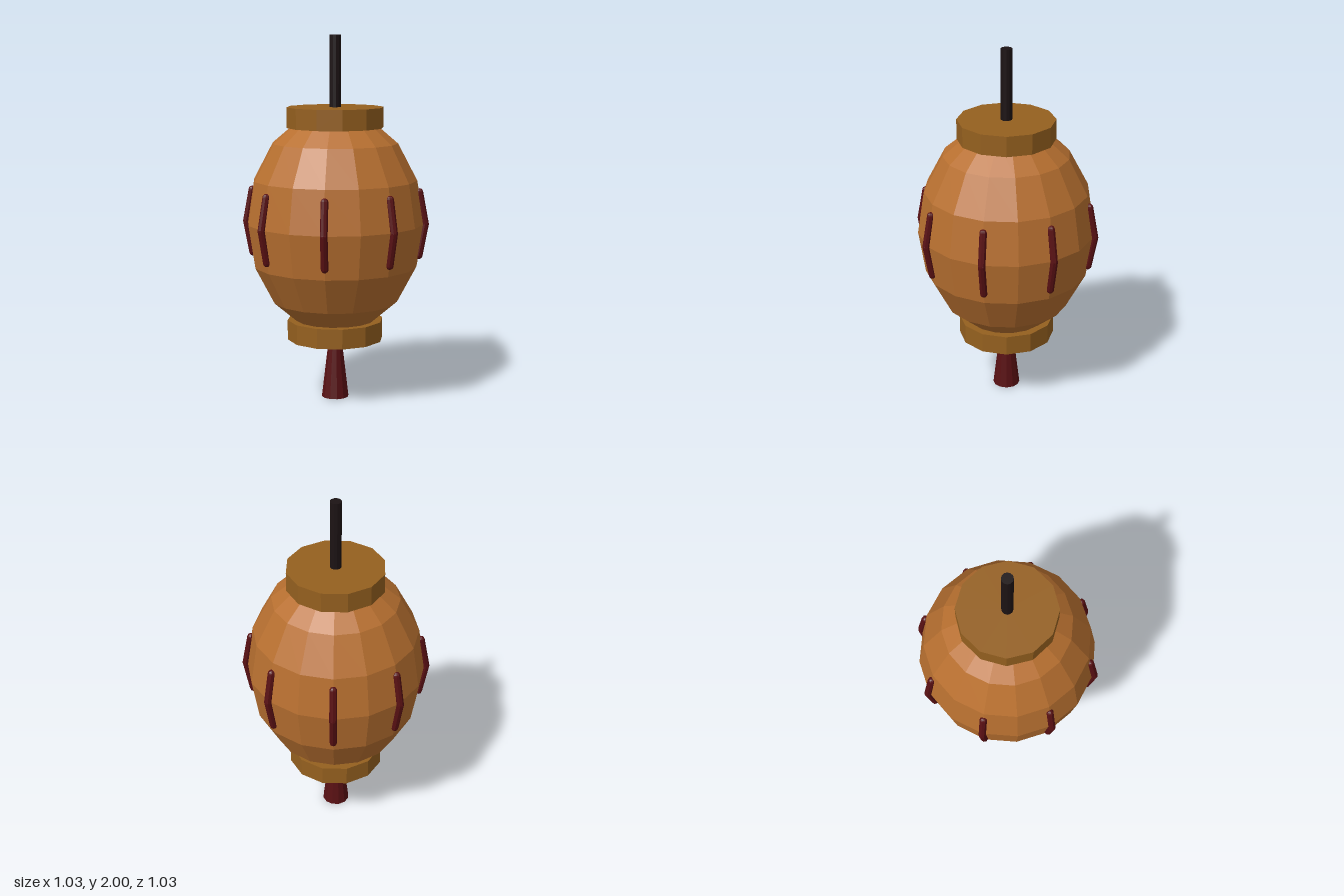
import * as THREE from 'three';

const material = (color) => new THREE.MeshStandardMaterial({ color, flatShading: true });

export function createModel() {
  const model = new THREE.Group();
  model.name = 'hangingLantern';

  const copper = material(0xb87030);
  const wood = material(0x95601f);
  const red = material(0x581013);
  const black = material(0x1c1314);

  const add = (name, geometry, mat, y, parent = model) => {
    const mesh = new THREE.Mesh(geometry, mat);
    mesh.name = name;
    mesh.position.y = y;
    parent.add(mesh);
    return mesh;
  };
  // Upright cylinder given by its bottom and top heights
  const post = (name, rTop, rBottom, y0, y1, sides, mat) =>
    add(name, new THREE.CylinderGeometry(rTop, rBottom, y1 - y0, sides), mat, (y0 + y1) / 2);

  // Faceted body, stretched upwards
  const midY = 0.983;
  add('body', new THREE.SphereGeometry(0.485, 16, 8).scale(1, 1.272, 1), copper, midY);

  // End caps, hanging rod and tassel
  post('topCap', 0.265, 0.265, 1.503, 1.614, 12, wood);
  post('bottomCap', 0.265, 0.265, 0.333, 0.442, 12, wood);
  post('hangingRod', 0.031, 0.031, 1.6, 2, 12, black);
  post('tassel', 0.034, 0.075, 0, 0.345, 12, red);

  // Eight ribs, each of two capsules meeting in a slight bend at the middle
  const ribRadius = 0.02, dr = 0.033, dy = 0.175;
  const half = new THREE.CapsuleGeometry(ribRadius, Math.hypot(dr, dy), 4, 8);
  for (let i = 0; i < 8; i++) {
    const rib = new THREE.Group();
    rib.name = `rib${i + 1}`;
    rib.rotation.y = (i * Math.PI) / 4;
    for (const side of [1, -1]) {
      const mesh = add(side > 0 ? 'upperRib' : 'lowerRib', half, red, midY + (side * dy) / 2, rib);
      mesh.position.z = 0.493 - dr / 2;
      mesh.rotation.x = -side * Math.atan2(dr, dy);
    }
    model.add(rib);
  }

  return model;
}
